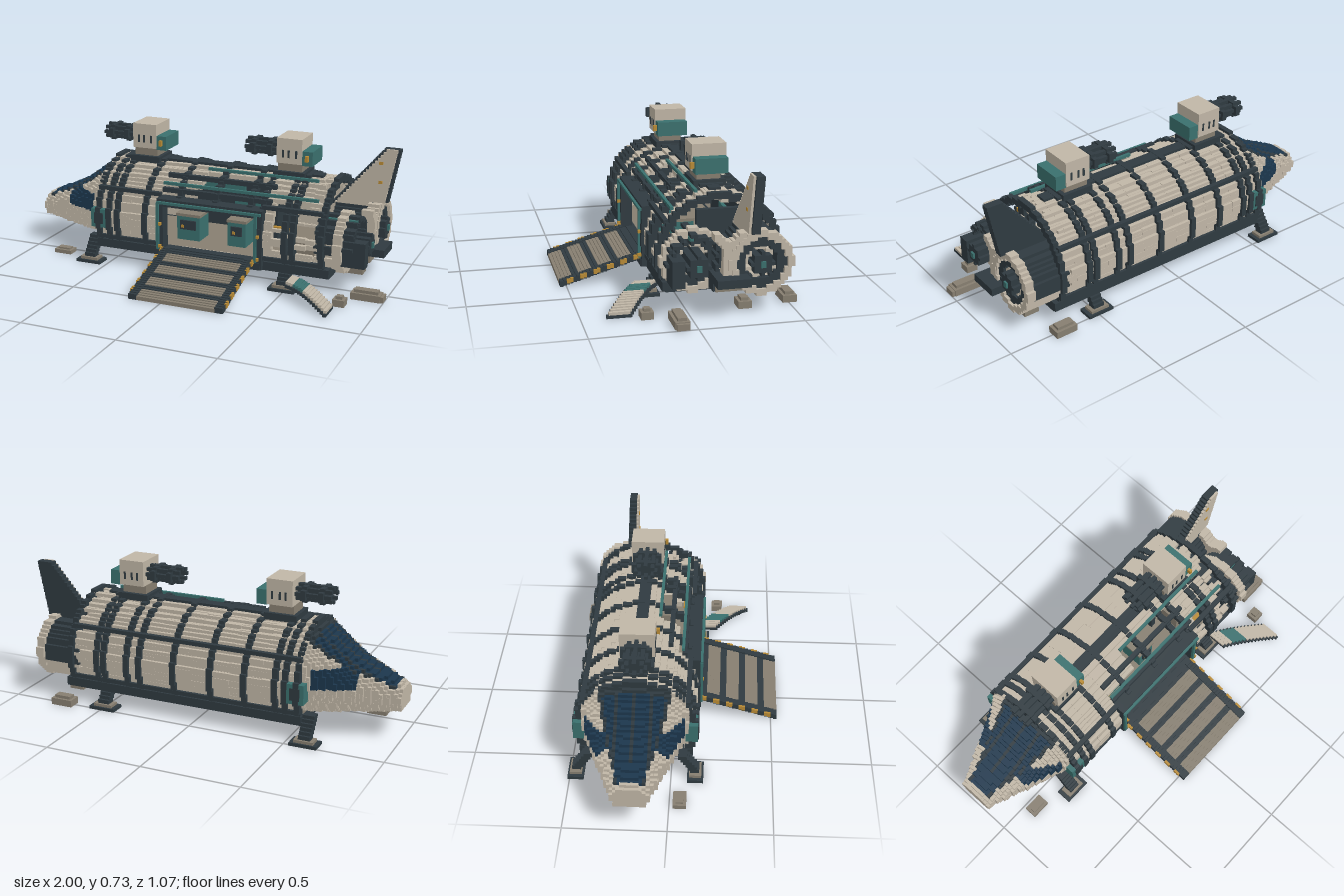
import * as THREE from 'three';
import { mergeGeometries } from 'three/addons/utils/BufferGeometryUtils.js';

const COLORS = { cream: 0xc0b6a6, dark: 0x2f3a40, teal: 0x3a706e, blue: 0x1c374d, brown: 0x867e70, gold: 0xb98b35 };
const V = 1 / 60;              // block size
const CY = 0.25, CZ = -0.175;  // hull axis

const hash = (a, b = 0, c = 0) => {
  const s = Math.sin(a * 127.1 + b * 311.7 + c * 74.7) * 43758.5453;
  return s - Math.floor(s);
};
const lerp = (a, b, t) => a + (b - a) * t;

// Collects boxes by colour, then merges them into one mesh per colour
function part(name, fill) {
  const bins = {};
  const add = (color, x0, x1, y0, y1, z0, z1) => {
    const g = new THREE.BoxGeometry(x1 - x0, y1 - y0, z1 - z0);
    g.translate((x0 + x1) / 2, (y0 + y1) / 2, (z0 + z1) / 2);
    (bins[color] ??= []).push(g);
  };
  fill(add);
  const group = new THREE.Group();
  group.name = name;
  for (const color in bins) {
    const mat = new THREE.MeshStandardMaterial({ color: COLORS[color] });
    const mesh = new THREE.Mesh(mergeGeometries(bins[color]), mat);
    mesh.name = `${name} ${color}`;
    group.add(mesh);
  }
  return group;
}

// Centres of the grid blocks lying in a ring of the y-z plane; rise > 1 flattens the top
function ringCells(r0, r1, cy, cz, rise = 1) {
  const cells = [], n = Math.ceil(r1 / V);
  for (let i = -n; i <= n; i++) for (let j = -n; j <= n; j++) {
    const d = Math.hypot(i > 0 ? i * rise : i, j) * V;
    if (d >= r0 && d <= r1 && cy + i * V > 0.09) cells.push([cy + i * V, cz + j * V]);
  }
  return cells;
}
function ring(add, color, x0, x1, cells, keep = () => true) {
  for (const [y, z] of cells)
    if (keep(y, z)) add(color, x0, x1, y - V / 2, y + V / 2, z - V / 2, z + V / 2);
}

// Hull planking, open above the door and torn at the near rear
function hull(add) {
  const xs = [-0.56, -0.49, -0.37, -0.28, -0.2, -0.1, 0, 0.1, 0.2, 0.29, 0.36, 0.42, 0.48, 0.54, 0.6, 0.68];
  ringCells(0.262, 0.286, CY, CZ, 1.05).forEach(([y, z], k) => {
    for (let s = 0; s < xs.length - 1; s++) {
      const mid = (xs[s] + xs[s + 1]) / 2, near = z > -0.09;
      if (near && y > 0.12 && mid > -0.2 && mid < 0.36 && (mid > 0 || y < 0.44)) continue;
      const tear = y < 0.43 ? 0.9 : mid > 0.54 ? 0.5 : 0.15;
      if (near && y > 0.19 && mid > 0.42 && hash(k, s) < tear) continue;
      const end = s === xs.length - 2 ? 0.62 + 0.07 * hash(k, 5) : xs[s + 1];
      const h = V / 2 + 0.004 * hash(k, s, 2);
      add('cream', xs[s], end, y - h, y + h, z - h, z + h);
    }
  });
}

// Rings, long beams and pipes
function frame(add) {
  const cells = ringCells(0.268, 0.305, CY, CZ, 1.06);
  for (const x of [-0.55, -0.49, -0.44, -0.28, -0.1, 0.1, 0.29, 0.36, 0.49, 0.53, 0.68]) {
    const inDoor = x > -0.19 && x < 0.35;
    ring(add, 'dark', x - 0.014, x + 0.014, cells, (y, z) => !(inDoor && z > 0 && y < 0.4));
  }
  add('dark', -0.3, 0.6, 0.52, 0.54, -0.205, -0.145);
  for (const [y, z] of [[0.41, 0.08], [0.15, 0.105]]) {
    add('dark', -0.56, -0.2, y - 0.01, y + 0.01, z - 0.012, z + 0.012);
    add('dark', 0.36, 0.68, y - 0.01, y + 0.01, z - 0.012, z + 0.012);
    add('dark', -0.56, 0.68, y - 0.01, y + 0.01, 2 * CZ - z - 0.012, 2 * CZ - z + 0.012);
  }
  for (const [y, z] of [[0.43, 0.05], [0.49, -0.02]]) add('dark', -0.2, 0.4, y - 0.012, y + 0.012, z - 0.012, z + 0.012);
  add('teal', 0, 0.6, 0.52, 0.535, -0.09, -0.075);
  add('teal', -0.2, 0.64, 0.455, 0.47, 0.035, 0.05);
  add('teal', 0.68, 0.83, 0.355, 0.37, -0.03, 0);
}

// Stepped nose with windshield and side windows
function nose(add) {
  const x0 = -1, n = 27, w = 0.45 / n;
  const at = (i, y, z) => {
    const t = i / (n - 1);
    const top = t < 0.55 ? lerp(0.265, 0.37, t / 0.55) : lerp(0.37, 0.515, (t - 0.55) / 0.45);
    const bot = lerp(0.15, 0.095, t), cy = (top + bot) / 2;
    const ny = (y - cy) / ((top - bot) / 2), nz = Math.abs(z - CZ) / lerp(0.085, 0.265, t);
    return { ny, nz, inside: Math.abs(ny) ** 2.4 + nz ** 2.4 <= 1, t };
  };
  for (let i = 0; i < n; i++) for (let a = -17; a <= 17; a++) for (let b = -17; b <= 17; b++) {
    const y = 0.3 + a * V, z = CZ + b * V, c = at(i, y, z);
    if (!c.inside) continue;
    const edge = [[V, 0], [-V, 0], [0, V], [0, -V]].some(([p, q]) => !at(i, y + p, z + q).inside);
    if (!edge && i > 0 && at(i - 1, y, z).inside) continue;
    const x = x0 + i * w;
    let color = 'cream';
    if (c.ny > 0.3 && c.nz < 0.68 && c.t > 0.04) color = c.nz > 0.6 || (b % 5 === 0 && c.t > 0.3) || c.t > 0.96 ? 'dark' : 'blue';
    else if (x > -0.81 && x < -0.6 && y > 0.25 && y < 0.36 && c.nz > 0.6) color = 'blue';
    const h = V / 2 + (color === 'cream' ? 0.004 * hash(i, a, b) : 0);
    add(color, x, x + w, y - h, y + h, z - h, z + h);
  }
  // side hatches
  for (const z of [0.085, 2 * CZ - 0.085]) {
    add('teal', -0.59, -0.49, 0.2, 0.3, z - 0.045, z + 0.045);
    add('dark', -0.57, -0.52, 0.22, 0.28, z - 0.05, z + 0.05);
  }
}

function belly(add) {
  add('dark', -0.57, 0.72, 0.08, 0.11, -0.44, 0.09);
  add('brown', -0.55, 0.68, 0.11, 0.128, -0.41, 0.1);
  for (const z of [0.08, 2 * CZ - 0.08]) add('dark', -0.57, 0.72, 0.085, 0.13, z - 0.025, z + 0.025);
  for (let i = 0; i < 7; i++) {
    const x = -0.5 + i * 0.165;
    add('brown', x, x + 0.13, 0.07, 0.085, -0.29, -0.06);
    for (const z of [-0.36, 0.01]) add('dark', x, x + 0.13, 0.07, 0.085, z - 0.03, z + 0.03);
  }
}

// Door surround and cabin fittings
function doorway(add) {
  for (const [a, b] of [[-0.205, -0.17], [0.335, 0.375]]) {
    add('dark', a, b, 0.09, 0.4, 0.07, 0.13);
    add('teal', a, a + 0.015, 0.13, 0.38, 0.13, 0.143);
  }
  add('dark', -0.205, 0.375, 0.36, 0.4, 0.05, 0.13);
  add('teal', -0.2, 0.37, 0.375, 0.388, 0.13, 0.143);
  add('dark', -0.2, 0.37, 0.09, 0.125, 0.06, 0.135);
  for (const x of [-0.19, 0.35]) for (const y of [0.14, 0.26]) add('gold', x, x + 0.012, y, y + 0.015, 0.13, 0.147);
}
function cabin(add) {
  add('dark', -0.19, 0.36, 0.13, 0.37, -0.42, -0.37);
  add('teal', 0.04, 0.32, 0.22, 0.3, -0.37, -0.35);
  add('teal', -0.19, 0.1, 0.34, 0.37, -0.37, -0.35);
  for (const [a, b] of [[-0.17, -0.04], [0.12, 0.22]]) {
    add('teal', a, b, 0.13, 0.26, -0.17, -0.05);
    add('brown', a - 0.005, b + 0.005, 0.26, 0.275, -0.175, -0.045);
    add('dark', a + 0.02, b - 0.02, 0.19, 0.24, -0.05, -0.04);
    add('gold', a + 0.03, a + 0.045, 0.2, 0.215, -0.04, -0.035);
  }
  add('dark', 0.33, 0.36, 0.13, 0.36, -0.4, -0.15);
  add('brown', 0.42, 0.62, 0.13, 0.22, -0.25, -0.05);
  add('gold', 0.4, 0.52, 0.29, 0.3, 0.02, 0.04);
}

// Stepped ramp with dark treads and striped edges
function ramp(add) {
  const n = 24;
  for (let i = 0; i < n; i++) {
    const z = lerp(0.13, 0.515, i / (n - 1)), y = lerp(0.125, 0.012, i / (n - 1));
    add(i % 6 < 2 ? 'dark' : 'brown', -0.13, 0.29, y - 0.012, y + 0.008, z, z + 0.0168);
    for (const x of [-0.15, 0.31]) {
      const s = Math.sign(x);
      add('dark', x - 0.022, x + 0.022, y - 0.012, y + 0.016, z, z + 0.0168);
      if (i % 4 < 2) add('gold', x + s * 0.022 - 0.006, x + s * 0.022 + 0.006, y - 0.004, y + 0.018, z, z + 0.0168);
    }
  }
}

function legs(add) {
  for (const x of [-0.6, 0.49]) for (const s of [1, -1]) {
    const box = (c, w, y0, y1, d, off) => add(c, x - w, x + w, y0, y1, CZ + s * off - d, CZ + s * off + d);
    box('dark', 0.07, 0, 0.016, 0.04, 0.295);
    box('brown', 0.05, 0.016, 0.03, 0.03, 0.295);
    for (let i = 0; i < 6; i++) box('dark', 0.03, 0.03 + i * V, 0.05 + i * V, 0.022, 0.292 - i * 0.012);
  }
}

// Roof gun turret
function turret(add) {
  const z = -0.17;
  add('dark', -0.09, 0.08, 0.52, 0.555, z - 0.08, z + 0.08);
  add('brown', -0.07, 0.06, 0.555, 0.6, z - 0.06, z + 0.06);
  add('cream', -0.07, 0.065, 0.6, 0.73, z - 0.085, z + 0.085);
  add('teal', 0.065, 0.12, 0.595, 0.67, z - 0.08, z + 0.08);
  add('gold', 0.085, 0.1, 0.62, 0.65, z + 0.08, z + 0.1);
  for (const x of [-0.04, -0.01, 0.03]) for (const s of [-1, 1]) add('dark', x, x + 0.01, 0.63, 0.67, z + s * 0.085 - 0.003, z + s * 0.085 + 0.003);
  add('dark', -0.22, -0.07, 0.645, 0.675, z - 0.02, z + 0.02);
  for (let i = 0; i < 8; i++) {
    const a = i * Math.PI / 4, y = 0.66 + 0.033 * Math.sin(a), q = z + 0.05 * Math.cos(a);
    add('dark', -0.255, -0.07, y - 0.009, y + 0.009, q - 0.01, q + 0.01);
  }
  for (const x of [-0.22, -0.13]) {
    add('dark', x, x + 0.025, 0.62, 0.7, z - 0.05, z + 0.05);
    add('dark', x, x + 0.025, 0.635, 0.685, z - 0.075, z + 0.075);
  }
}

// Engine barrel, dark above and pale below; low is where the lower half ends
function engine(add, cz, low, wear) {
  const cells = (r0, r1) => ringCells(r0, r1, CY, cz);
  const whole = (y, z) => hash(y * 60, z * 60) >= wear;
  ring(add, 'dark', 0.64, 0.84, cells(0.1, 0.138), (y, z) => y > 0.2 && whole(y, z));
  ring(add, 'cream', 0.64, low, cells(0.1, 0.145), (y, z) => y <= 0.2 && whole(y, z));
  ring(add, 'cream', low, low + 0.045, cells(0.12, 0.152));
  ring(add, 'dark', low, low + 0.03, cells(0.08, 0.12));
  ring(add, 'cream', 0.7, low + 0.015, cells(0.058, 0.08), (y, z) => hash(y * 60, z * 60) > 0.4);
  ring(add, 'dark', 0.7, 0.9, cells(0, 0.05));
  add('teal', 0.9, 0.91, 0.235, 0.265, cz - 0.012, cz + 0.012);
}
function engineMount(add) {
  add('cream', 0.82, 0.88, 0.2, 0.36, -0.207, -0.143);
  for (const s of [-1, 1]) for (let i = 0; i < 3; i++) add('cream', 0.82, 0.88, 0.33 + i * V, 0.365 + i * V, CZ + s * (0.025 + i * V) - V, CZ + s * (0.025 + i * V) + V);
  add('dark', 0.68, 0.86, 0.12, 0.2, -0.25, -0.1);
  add('brown', 0.86, 0.87, 0.12, 0.155, -0.24, -0.11);
  add('dark', 0.8, 0.945, 0.16, 0.2, -0.26, -0.1);
  add('dark', 0.78, 0.9, 0.16, 0.29, 0.04, 0.1);
}

// Swept tail fin, plated on its inner side
function fin(add) {
  const n = 19;
  for (let i = 0; i < n; i++) {
    const t = i / (n - 1), y = 0.365 + i * V, a = lerp(0.63, 0.89, t), b = t < 0.1 ? 0.83 : lerp(0.905, 0.965, t);
    add('dark', a - 0.01, b, y, y + V, -0.305, -0.265);
    add('cream', a + 0.004, b - 0.014, y, y + V, -0.265, -0.253);
  }
  for (const y of [0.5, 0.6]) add('gold', 0.86, 0.88, y, y + 0.015, -0.253, -0.249);
}

// Torn hull panel on the ground
function fallenPanel(add) {
  for (let i = 0; i < 16; i++) {
    const x = 0.53 + i * V, z = 0.1 + i * 0.0115, y = 0.012 + 0.05 * Math.sin((1 - i / 15) * Math.PI * 0.62);
    add('dark', x, x + V, y - 0.01, y + 0.006, z - 0.01, z + 0.11);
    add(i > 2 && i < 7 ? 'teal' : 'cream', x, x + V, y + 0.006, y + 0.02, z, z + 0.1);
  }
}
function debris(add) {
  for (const [x, z, w, d, h] of [[-0.8, 0.05, 0.1, 0.065, 0.03], [0.71, -0.505, 0.115, 0.07, 0.05], [0.91, 0.07, 0.15, 0.07, 0.05], [0.81, 0.2, 0.06, 0.06, 0.05], [0.76, -0.275, 0.08, 0.065, 0.05]]) {
    add('brown', x - w / 2, x + w / 2, 0, h * 0.7, z - d / 2, z + d / 2);
    add('brown', x - w / 2 + 0.014, x + w / 2 - 0.014, h * 0.7, h, z - d / 2 + 0.014, z + d / 2 - 0.014);
  }
  add('brown', 0.94, 1, 0, 0.03, 0.04, 0.1);
}

export function createModel() {
  const model = new THREE.Group();
  model.name = 'shuttle';
  const parts = { hull, frame, nose, belly, doorway, cabin, ramp, legs, engineMount, fin, fallenPanel, debris };
  for (const name in parts) model.add(part(name, parts[name]));
  model.add(part('nearEngine', (add) => engine(add, -0.025, 0.74, 0.4)));
  model.add(part('farEngine', (add) => engine(add, -0.325, 0.84, 0)));
  for (const [name, x] of [['frontTurret', -0.37], ['rearTurret', 0.44]]) {
    const t = part(name, turret);
    t.position.x = x;
    model.add(t);
  }
  return model;
}
